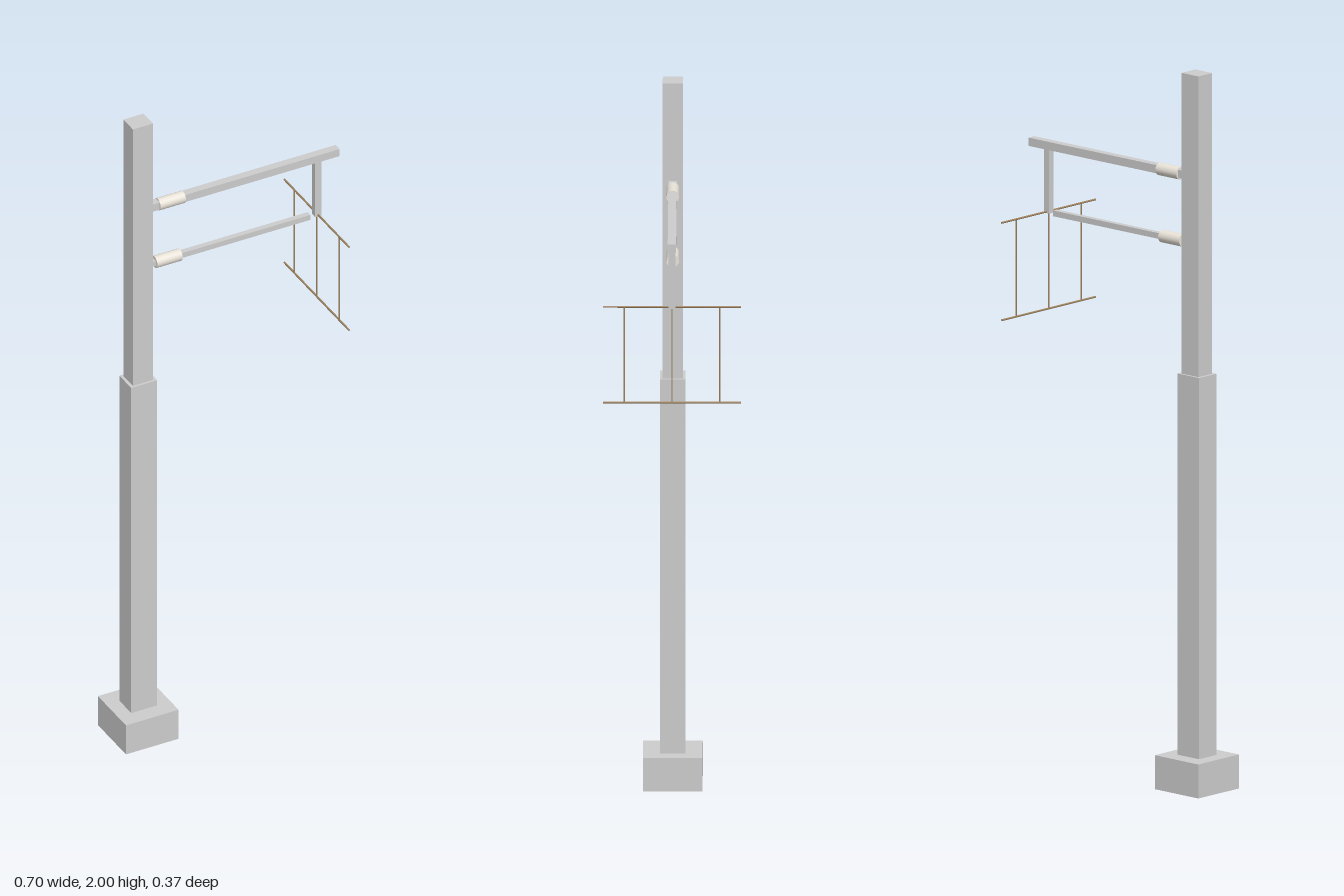
import * as THREE from 'three';

const grey = new THREE.MeshStandardMaterial({ color: 0xcccccc });
const porcelain = new THREE.MeshStandardMaterial({ color: 0xe8e2d8 });
const copper = new THREE.MeshStandardMaterial({ color: 0xa08560 });

export function createModel() {
  const group = new THREE.Group();
  const add = (name, geometry, x, y, z, material = grey) => {
    const mesh = new THREE.Mesh(geometry, material);
    mesh.name = name;
    mesh.position.set(x, y, z);
    group.add(mesh);
  };
  // Box given by its x and y extents and its depth, centred on z = 0
  const box = (name, x0, x1, y0, y1, depth) =>
    add(name, new THREE.BoxGeometry(x1 - x0, y1 - y0, depth), (x0 + x1) / 2, (y0 + y1) / 2, 0);

  // Footing and stepped mast
  box('footing', -0.349, -0.187, 0, 0.095, 0.162);
  box('lowerMast', -0.308, -0.228, 0.095, 1.16, 0.069);
  box('upperMast', -0.299, -0.237, 1.16, 2, 0.055);

  // Cantilever arms and the drop post between them
  box('upperArm', -0.24, 0.346, 1.699, 1.722, 0.023);
  box('lowerArm', -0.24, 0.258, 1.516, 1.532, 0.016);
  box('dropPost', 0.272, 0.291, 1.521, 1.7, 0.018);

  // Insulator sleeves around the arms
  for (const [name, x, y] of [['upperInsulator', -0.169, 1.71], ['lowerInsulator', -0.179, 1.524]]) {
    const sleeve = new THREE.CylinderGeometry(0.0175, 0.0175, 0.078, 16).rotateZ(Math.PI / 2);
    add(name, sleeve, x, y, 0, porcelain);
  }

  // Overhead wires running along z
  for (const [name, y] of [['carrierWire', 1.525], ['contactWire', 1.253]]) {
    const wire = new THREE.CylinderGeometry(0.0028, 0.0028, 0.374, 8).rotateX(Math.PI / 2);
    add(name, wire, 0.282, y, 0, copper);
  }

  // Vertical hangers between the wires
  for (const z of [-0.13, 0, 0.13]) {
    add('hanger', new THREE.CylinderGeometry(0.002, 0.002, 0.272, 8), 0.282, 1.389, z, copper);
  }

  return group;
}
